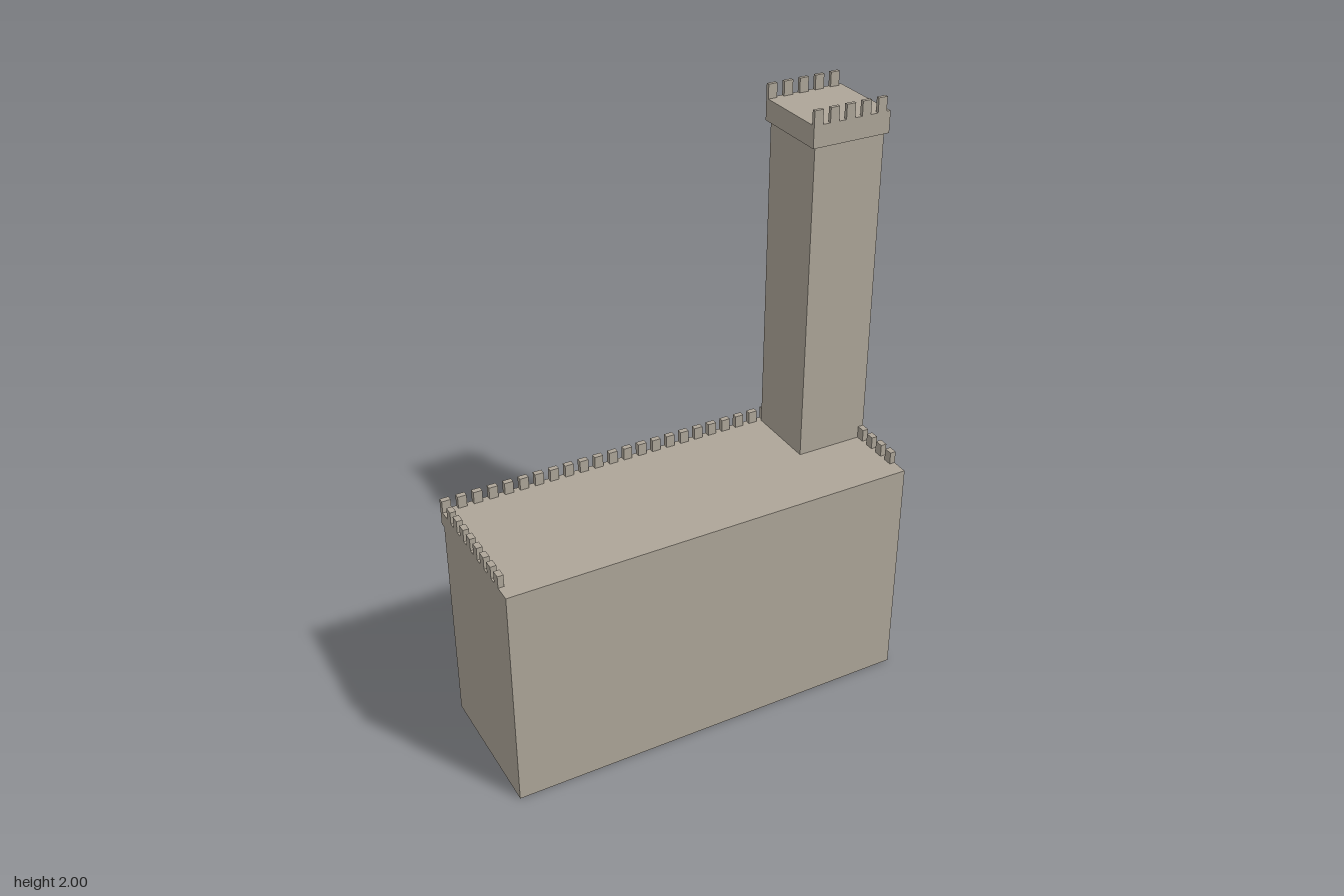
import * as THREE from 'three';

export function createModel() {
  const model = new THREE.Group();
  const stone = new THREE.MeshStandardMaterial({ color: 0xada598 });
  stone.name = 'warm grey stone';

  const add = (name, geometry, parent = model) => {
    const mesh = new THREE.Mesh(geometry, stone);
    mesh.name = name;
    parent.add(mesh);
    return mesh;
  };
  // Box given by its minimum and maximum on each axis
  const box = (name, x0, x1, y0, y1, z0, z1, parent) => {
    const mesh = add(name, new THREE.BoxGeometry(x1 - x0, y1 - y0, z1 - z0), parent);
    mesh.position.set((x0 + x1) / 2, (y0 + y1) / 2, (z0 + z1) / 2);
    return mesh;
  };
  const group = (name) => {
    const g = new THREE.Group();
    g.name = name;
    model.add(g);
    return g;
  };

  const L = -0.7125, R = 0.702, F = 0.258, B = -0.237, T = 0.052;
  const mid = (L + R) / 2, roofY = 0.8, slabY = 0.786;

  // Openings in the entrance wall
  const arch = (x, w, y0, y1) => {
    const r = w / 2, p = new THREE.Path();
    p.moveTo(x - r, y0);
    p.lineTo(x + r, y0);
    p.lineTo(x + r, y1 - r);
    p.absarc(x, y1 - r, r, 0, Math.PI, false);
    p.closePath();
    return p;
  };
  const slot = (x, w, y0, y1) => new THREE.Path([
    new THREE.Vector2(x - w / 2, y0), new THREE.Vector2(x + w / 2, y0),
    new THREE.Vector2(x + w / 2, y1), new THREE.Vector2(x - w / 2, y1),
    new THREE.Vector2(x - w / 2, y0),
  ]);
  const wall = new THREE.Shape([
    new THREE.Vector2(L, 0), new THREE.Vector2(R, 0),
    new THREE.Vector2(R, roofY), new THREE.Vector2(L, roofY),
  ]);
  const windowDetails = group('windowDetails');
  for (let i = -2; i <= 2; i++) {
    const x = mid + i * 0.271;
    wall.holes.push(arch(x, 0.08, 0.535, 0.65), arch(x, 0.058, 0.325, 0.407));
    wall.holes.push(i === 0 ? arch(x, 0.115, 0.045, 0.225) : slot(x, 0.03, 0.147, 0.195));
    // Slim column dividing each upper window
    const column = add('windowColumn', new THREE.CylinderGeometry(0.004, 0.004, 0.114, 8), windowDetails);
    column.position.set(x, 0.592, B + T / 2);
  }
  add('entranceWall', new THREE.ExtrudeGeometry(wall, { depth: T, bevelEnabled: false, curveSegments: 12 }))
    .position.z = B;

  // Remaining walls and roof; the hall is open underneath
  box('frontWall', L, R, 0, slabY, F - T, F);
  box('leftWall', R - T, R, 0, slabY, B + T, F - T);
  box('rightWall', L, L + T, 0, slabY, B + T, F - T);
  box('roof', L, R, slabY, roofY, B + T, F);
  box('cornice', L, R, slabY, roofY, -0.258, B);

  // Stones around the door arch
  const doorArch = group('doorArch');
  const blocks = 11;
  for (let i = 0; i < blocks; i++) {
    const a = Math.PI * i / (blocks - 1);
    const block = add('archStone', new THREE.BoxGeometry(0.018, 0.015, 0.006), doorArch);
    block.position.set(mid + Math.cos(a) * 0.068, 0.1675 + Math.sin(a) * 0.068, B - 0.001);
    block.rotation.z = a;
  }

  // Battlements and the brackets under the cornice
  const battlements = group('battlements');
  const brackets = group('brackets');
  for (let i = 0; i < 27; i++) {
    const x = L + 0.015 + i * (R - L - 0.03) / 26;
    box('backMerlon', x - 0.015, x + 0.015, roofY, 0.842, -0.258, -0.239, battlements);
    box('bracket', x - 0.015, x + 0.015, 0.747, slabY, -0.258, B, brackets);
  }
  for (let i = 0; i < 8; i++) {
    const z = -0.185 + i * 0.053;
    box('rightMerlon', L, L + 0.02, roofY, 0.842, z - 0.015, z + 0.015, battlements);
    box('leftMerlon', R - 0.019, R + 0.001, roofY, 0.842, z - 0.015, z + 0.015, battlements);
  }

  // Tower with overhanging crown
  box('towerShaft', 0.454, R, roofY, 1.882, B, 0.012);
  box('towerCrown', 0.441, 0.7125, 1.882, 1.953, -0.247, 0.023);
  const towerMerlons = group('towerMerlons');
  for (let i = 0; i < 5; i++) {
    const x = 0.441 + i * 0.0565;
    box('towerMerlon', x, x + 0.031, 1.953, 2, 0.011, 0.023, towerMerlons);
    box('towerMerlon', x, x + 0.031, 1.953, 2, -0.247, -0.235, towerMerlons);
  }
  // Small slits on the tower
  for (const y of [1.005, 1.435]) box('towerSlit', 0.576, 0.582, y - 0.008, y + 0.008, B - 0.001, B);

  return model;
}
